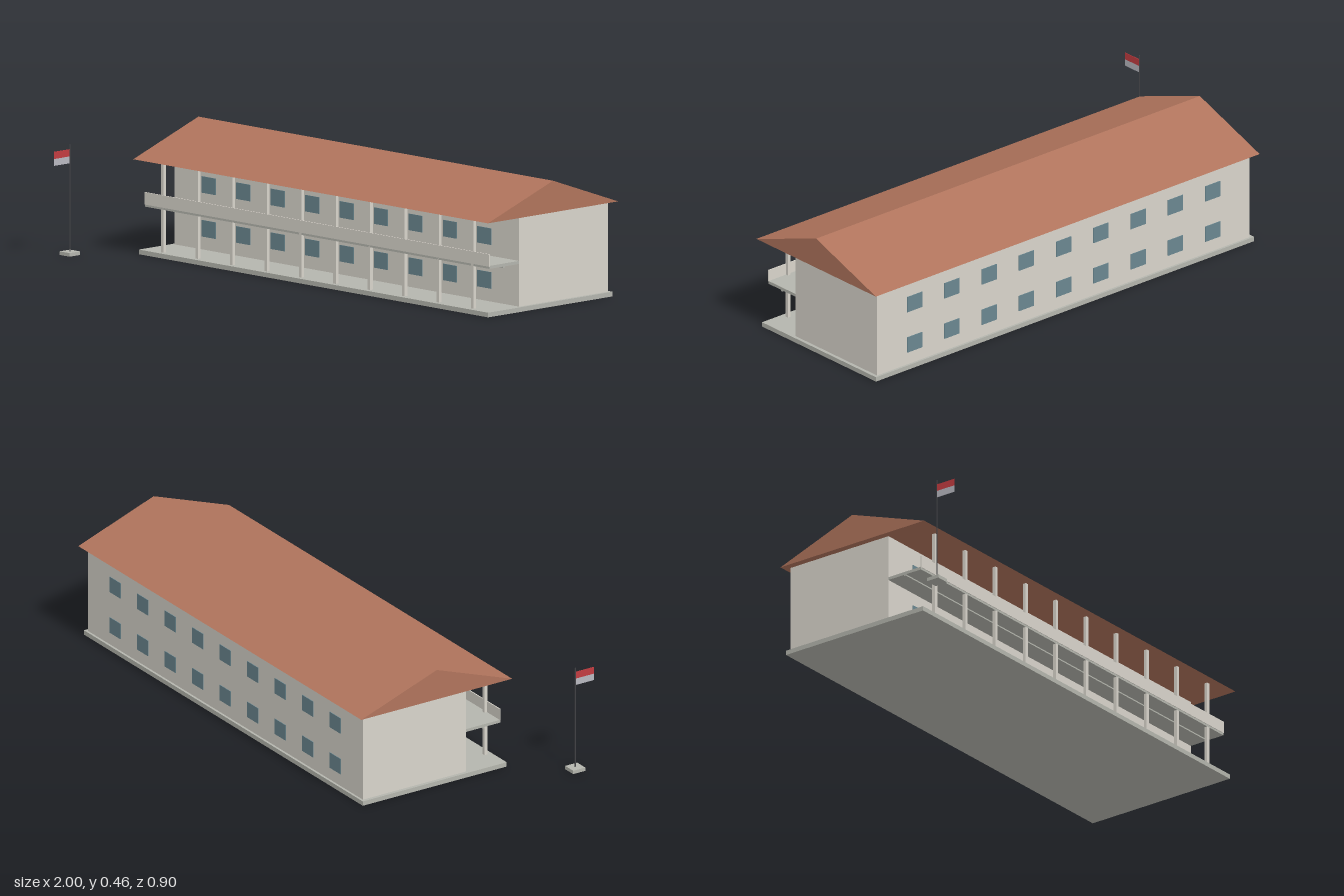
import * as THREE from 'three';

const mat = (color) => new THREE.MeshStandardMaterial({ color });

export function createModel() {
  const model = new THREE.Group();
  const wall = mat(0xd8d4cb), stone = mat(0xb4b5ad), tile = mat(0xb0745c);
  const glass = mat(0x6a8790), dark = mat(0x444448), red = mat(0xc23c40), pale = mat(0xb8b8c0);

  // Box given by its extents on each axis
  function box(name, material, [x0, x1], [y0, y1], [z0, z1], parent = model) {
    const mesh = new THREE.Mesh(new THREE.BoxGeometry(x1 - x0, y1 - y0, z1 - z0), material);
    mesh.position.set((x0 + x1) / 2, (y0 + y1) / 2, (z0 + z1) / 2);
    mesh.name = name;
    parent.add(mesh);
    return mesh;
  }

  const left = -0.8, right = 0.971, bay = (right - left) / 10;
  const front = 0.02, back = -0.423, floorY = 0.017, eaveY = 0.345;

  // Main block
  box('foundation', stone, [-0.813, 0.984], [0, floorY], [-0.432, 0.186]);
  box('walls', wall, [left, right], [floorY, eaveY], [back, front]);

  // Gabled roof: triangular section extruded along x
  const gable = new THREE.Shape([
    new THREE.Vector2(-0.201, eaveY),
    new THREE.Vector2(0.447, eaveY),
    new THREE.Vector2(0.123, 0.46),
  ]);
  const roof = new THREE.Mesh(
    new THREE.ExtrudeGeometry(gable, { depth: 1.824, bevelEnabled: false }), tile);
  roof.rotation.y = Math.PI / 2;
  roof.position.x = -0.826;
  roof.name = 'roof';
  model.add(roof);

  // Upper walkway with its parapet and supporting beam
  box('walkway', stone, [left, right], [0.172, 0.183], [front, 0.167]);
  box('parapet', wall, [left, right], [0.18, 0.225], [0.165, 0.169]);
  box('walkwayBeam', stone, [left, right], [0.167, 0.172], [0.091, 0.099]);

  // Columns in the middle of every bay
  const columns = new THREE.Group();
  columns.name = 'columns';
  model.add(columns);
  for (let i = 0; i < 10; i++) {
    const x = left + bay * (i + 0.5);
    box('column', wall, [x - 0.0065, x + 0.0065], [floorY, eaveY], [0.154, 0.167], columns);
  }

  // Two rows of windows on the front and back walls
  const windows = new THREE.Group();
  windows.name = 'windows';
  model.add(windows);
  for (const z of [front, back]) {
    for (const y of [0.094, 0.253]) {
      for (let i = 1; i < 10; i++) {
        const x = left + bay * i;
        box('window', glass, [x - 0.0355, x + 0.0355], [y - 0.03, y + 0.03],
          [z - 0.0025, z + 0.0025], windows);
      }
    }
  }

  // Flagpole with a two-band flag flying towards +z
  const flagpole = new THREE.Group();
  flagpole.name = 'flagpole';
  model.add(flagpole);
  const px = -0.974, pz = 0.373;
  box('poleBase', stone, [-1, -0.948], [0, 0.013], [0.347, 0.399], flagpole);
  const pole = new THREE.Mesh(new THREE.CylinderGeometry(0.002, 0.002, 0.387, 8), dark);
  pole.position.set(px, 0.2065, pz);
  pole.name = 'pole';
  flagpole.add(pole);
  box('flagUpperBand', red, [px - 0.001, px + 0.001], [0.358, 0.384], [pz, 0.452], flagpole);
  box('flagLowerBand', pale, [px - 0.001, px + 0.001], [0.333, 0.358], [pz, 0.452], flagpole);

  return model;
}
